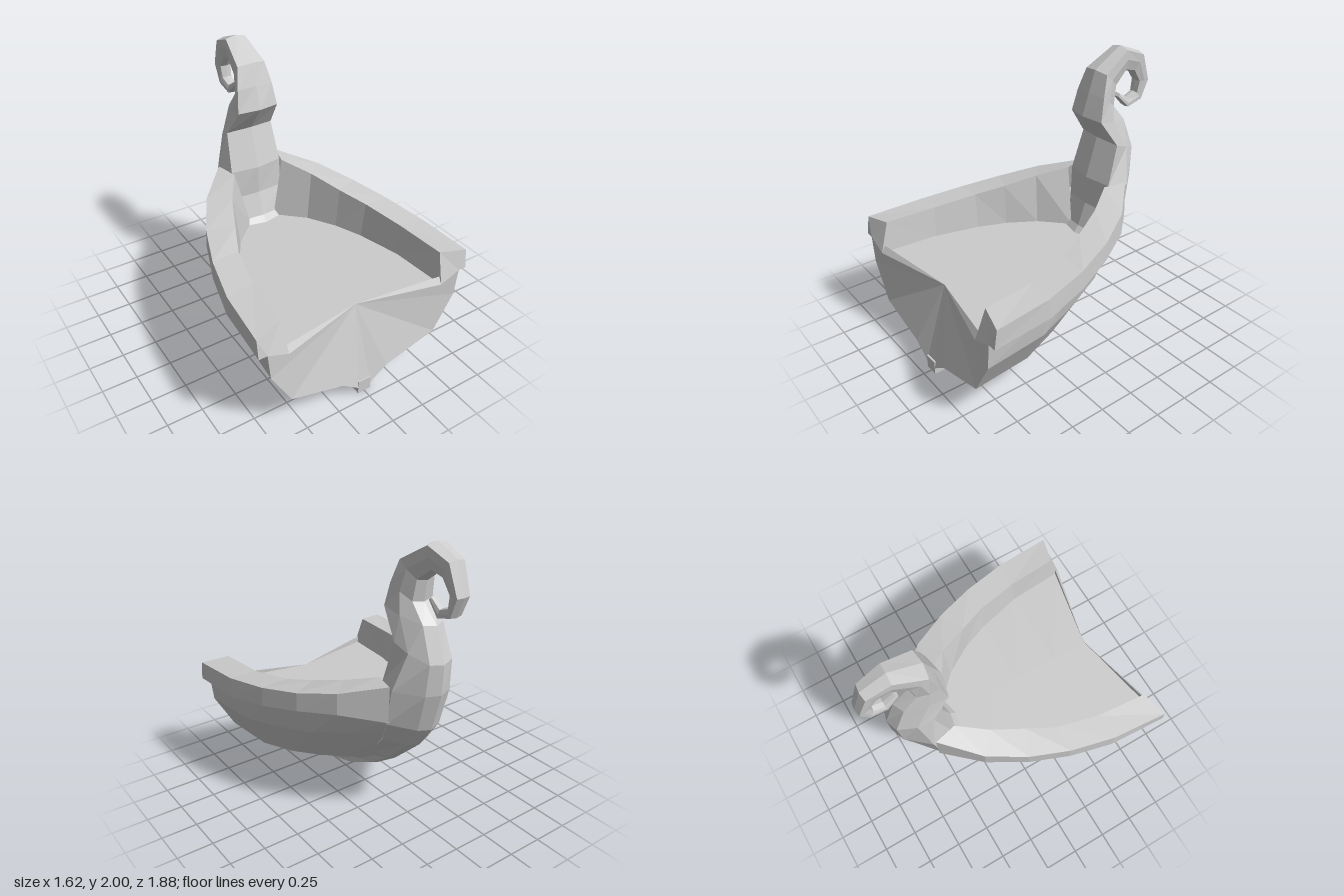
import * as THREE from 'three';

const material = new THREE.MeshStandardMaterial({
  color: 0xcccccc, flatShading: true, side: THREE.DoubleSide,
});

// Skin a list of equally long point rows; side = -1 mirrors it across x = 0
function loft(name, rows, side = 1) {
  const pos = [];
  const same = (p, q) => p.every((v, k) => Math.abs(v - q[k]) < 1e-6);
  const tri = (a, b, c) => {
    if (same(a, b) || same(b, c) || same(a, c)) return;
    for (const p of side > 0 ? [a, b, c] : [a, c, b]) pos.push(p[0] * side, p[1], p[2]);
  };
  for (let i = 0; i < rows.length - 1; i++) {
    for (let j = 0; j < rows[i].length - 1; j++) {
      const a = rows[i][j], b = rows[i][j + 1], c = rows[i + 1][j + 1], d = rows[i + 1][j];
      tri(a, b, c);
      tri(a, c, d);
    }
  }
  const geo = new THREE.BufferGeometry();
  geo.setAttribute('position', new THREE.Float32BufferAttribute(pos, 3));
  geo.computeVertexNormals();
  const mesh = new THREE.Mesh(geo, material);
  mesh.name = name;
  return mesh;
}

// Lengthwise lines of the left side, from the open end to the stem
const keelTop = [[.05, .05, .94], [.05, .065, .65], [.05, .12, .3], [.05, .17, .1], [.05, .22, -.03], [.05, .29, -.15]];
const garboard = [[.18, .145, .94], [.17, .15, .6], [.15, .18, .35], [.13, .22, .15], [.1, .26, 0], [.07, .31, -.14]];
const chine = [[.58, .255, .94], [.55, .265, .52], [.47, .3, .25], [.37, .335, .04], [.26, .36, -.12], [.13, .38, -.25]];
const bilge = [[.73, .52, .94], [.7, .54, .5], [.62, .575, .22], [.51, .625, -.08], [.36, .67, -.3], [.19, .7, -.5]];
const hullTop = [[.75, .715, .94], [.73, .73, .5], [.66, .77, .2], [.56, .82, -.08], [.43, .86, -.33], [.22, .835, -.57]];
const rimLow = [[.81, .715, .94], [.785, .73, .51], [.715, .77, .2], [.615, .82, -.08], [.475, .86, -.34], [.25, .835, -.58]];
const rimOuter = [[.81, .85, .92], [.78, .87, .52], [.71, .905, .2], [.61, .95, -.08], [.47, 1.01, -.34], [.24, 1.085, -.58]];
const rimInner = [[.62, .87, .87], [.59, .88, .5], [.52, .915, .2], [.43, .96, 0], [.33, 1.02, -.22], [.2, 1.08, -.42]];
const deckEdge = [[.6, .655, .94], [.57, .655, .52], [.49, .655, .2], [.41, .655, 0], [.29, .655, -.2], [.1, .655, -.38]];

// Keel, stem and curl: inner z, y, outer z, y, then half widths inner, middle, outer
const stemSections = [
  [.94, .1, .94, 0, .05, .05, .05],
  [.65, .11, .65, .01, .05, .05, .05],
  [.28, .17, .28, .07, .05, .05, .05],
  [.06, .25, .1, .12, .05, .05, .05],
  [-.05, .4, -.15, .23, .05, .08, .05],
  [-.18, .5, -.35, .37, .1, .15, .06],
  [-.36, .7, -.6, .6, .14, .21, .08],
  [-.42, .87, -.71, .76, .2, .25, .09],
  [-.42, 1.08, -.79, 1.04, .2, .24, .1],
  [-.51, 1.37, -.8, 1.25, .18, .16, .09],
  [-.37, 1.56, -.72, 1.48, .155, .14, .08],
  [-.42, 1.72, -.6, 1.6, .135, .12, .08],
  [-.47, 1.87, -.62, 1.74, .105, .1, .07],
  [-.69, 2, -.71, 1.82, .075, .075, .055],
  [-.87, 1.93, -.79, 1.8, .06, .06, .045],
  [-.94, 1.72, -.85, 1.72, .05, .05, .04],
  [-.88, 1.58, -.84, 1.64, .045, .045, .035],
  [-.76, 1.545, -.77, 1.61, .04, .04, .03],
  [-.67, 1.64, -.69, 1.66, .03, .03, .025],
];

function stemRing([az, ay, bz, by, w, wm, wb], i) {
  const at = (x, t) => [x, ay + (by - ay) * t, az + (bz - az) * t];
  const bevel = i < 4 ? 0 : 0.1;
  const half = [at(w, bevel), at(wm, 0.48), at(wb, 1 - bevel)];
  const mirrored = half.map(([x, y, z]) => [-x, y, z]).reverse();
  return [at(0, 0), ...half, at(0, 1), ...mirrored, at(0, 0)];
}

export function createModel() {
  const group = new THREE.Group();
  group.name = 'shipProw';

  for (const [side, label] of [[1, 'left'], [-1, 'right']]) {
    group.add(loft(label + 'HullPlanks', [keelTop, garboard, chine, bilge, hullTop], side));
    group.add(loft(label + 'Rim', [hullTop, rimLow, rimOuter, rimInner], side));
    group.add(loft(label + 'InnerWall', [rimInner, deckEdge], side));
    const end = [deckEdge, rimInner, rimOuter, rimLow].map((r) => r[0]);
    group.add(loft(label + 'RimEnd', [end.map(() => hullTop[0]), end], side));
  }

  // Deck, notched at the open end
  const mirror = ([x, y, z]) => [-x, y, z];
  const centre = deckEdge.map(([, y, z], i) => [0, y, i === 0 ? 0.79 : z]);
  group.add(loft('deck', [deckEdge, centre, deckEdge.map(mirror)]));

  // Hollow end wall fanned around the notch
  const leftEdge = [deckEdge, hullTop, bilge, chine, garboard, keelTop].map((r) => r[0]);
  const outline = [...leftEdge, ...leftEdge.map(mirror).reverse()];
  group.add(loft('endWall', [outline.map(() => centre[0]), outline]));

  // Stem closed at both tips
  const rings = stemSections.map(stemRing);
  const tip = (ring) => {
    const mid = ring[0].map((v, k) => (v + ring[4][k]) / 2);
    return ring.map(() => mid);
  };
  group.add(loft('keelAndCurledStem', [tip(rings[0]), ...rings, tip(rings[rings.length - 1])]));

  return group;
}
